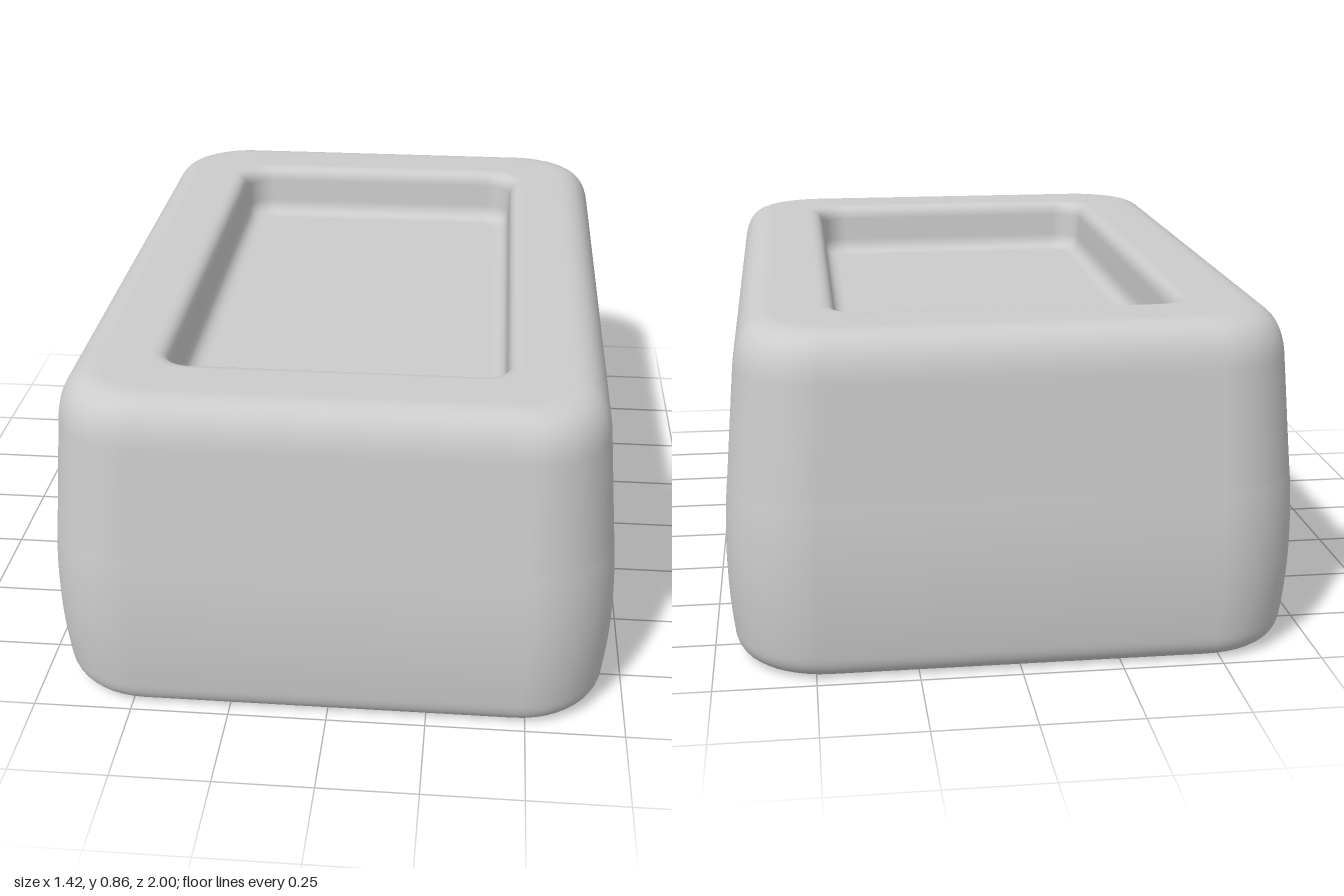
import * as THREE from 'three';

const HALF_X = 0.71, HALF_Z = 1, CORNER_STEPS = 12;

// Rounded-rectangle loop, shrunk by `inset` from the widest outline
function ring(inset, y) {
  const r = 0.22 - 0.5 * inset;
  const cx = HALF_X - inset - r, cz = HALF_Z - inset - r;
  const signs = [[1, 1], [-1, 1], [-1, -1], [1, -1]];
  const out = [];
  signs.forEach(([sx, sz], q) => {
    for (let i = 0; i <= CORNER_STEPS; i++) {
      const a = (q + i / CORNER_STEPS) * Math.PI / 2;
      out.push(sx * cx + r * Math.cos(a), y, sz * cz + r * Math.sin(a));
    }
  });
  return out;
}

// Wall profile as (inset, height): underside, bulging side, rim, recess wall, recess floor
function profile() {
  const p = new THREE.Path();
  p.moveTo(0.075, 0);
  p.quadraticCurveTo(0.017, 0, 0.012, 0.07);
  p.quadraticCurveTo(0, 0.17, 0, 0.27);
  p.quadraticCurveTo(0, 0.37, 0.01, 0.46);
  p.lineTo(0.034, 0.74);
  p.quadraticCurveTo(0.044, 0.855, 0.13, 0.855);
  p.lineTo(0.245, 0.855);
  p.quadraticCurveTo(0.284, 0.855, 0.287, 0.815);
  p.lineTo(0.29, 0.75);
  p.quadraticCurveTo(0.293, 0.705, 0.335, 0.705);
  return p.getPoints(10);
}

function bodyGeometry() {
  const pts = profile();
  const n = 4 * (CORNER_STEPS + 1);
  const positions = pts.flatMap(p => ring(p.x, p.y));
  const index = [];
  for (let i = 0; i < pts.length - 1; i++) {
    for (let j = 0; j < n; j++) {
      const a = i * n + j, b = i * n + (j + 1) % n;
      index.push(a, a + n, b, b, a + n, b + n);
    }
  }
  // Flat caps: underside and recess floor
  const bottom = pts.length * n, floor = bottom + 1, last = (pts.length - 1) * n;
  positions.push(0, pts[0].y, 0, 0, pts[pts.length - 1].y, 0);
  for (let j = 0; j < n; j++) {
    const k = (j + 1) % n;
    index.push(bottom, j, k, floor, last + k, last + j);
  }
  const g = new THREE.BufferGeometry();
  g.setAttribute('position', new THREE.Float32BufferAttribute(positions, 3));
  g.setIndex(index);
  g.computeVertexNormals();
  return g;
}

export function createModel() {
  const model = new THREE.Group();
  model.name = 'recessedBlock';
  const body = new THREE.Mesh(bodyGeometry(), new THREE.MeshStandardMaterial({ color: 0xcccccc }));
  body.name = 'body';
  model.add(body);
  return model;
}
